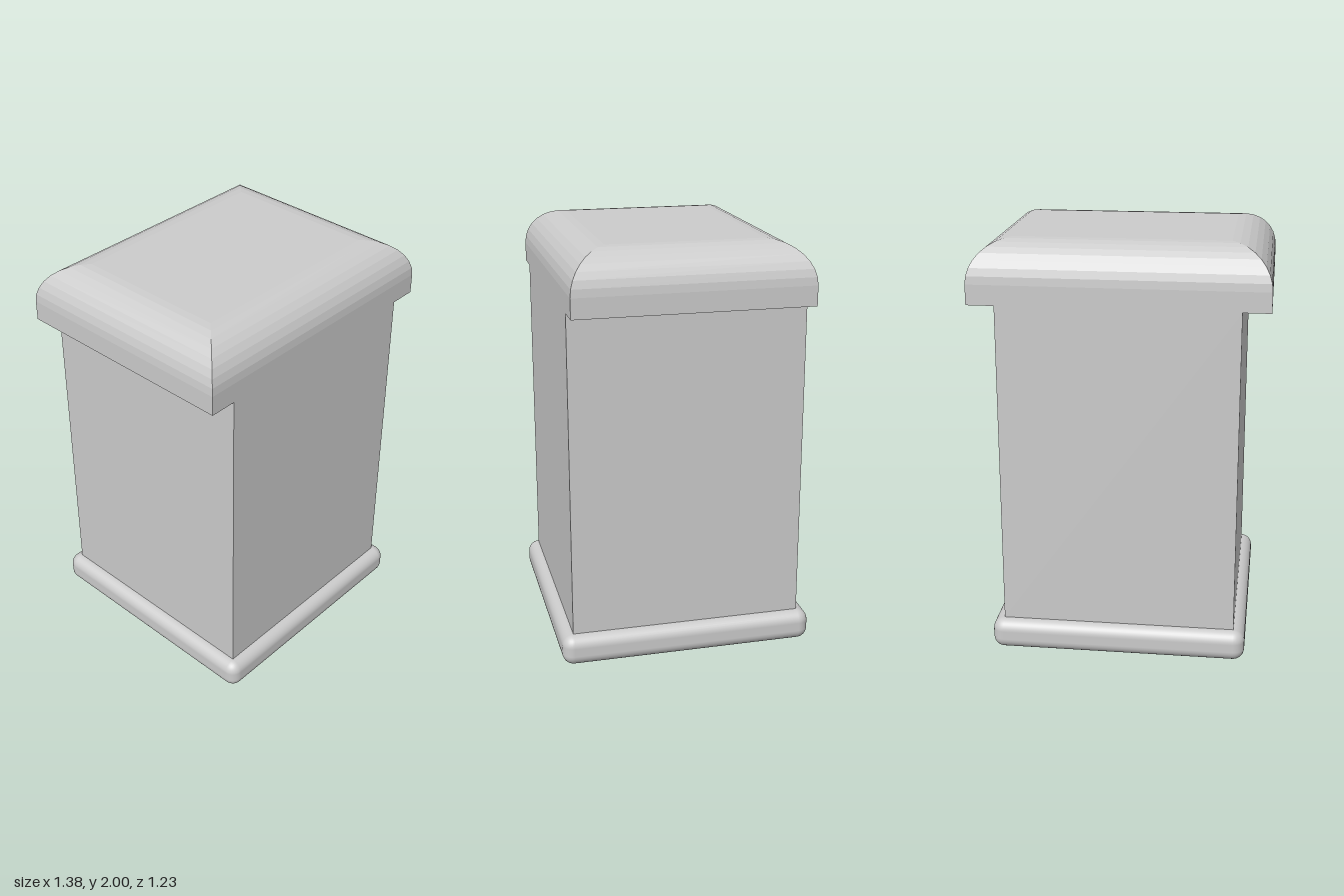
import * as THREE from 'three';
import { RoundedBoxGeometry } from 'three/addons/geometries/RoundedBoxGeometry.js';

const HALF = 0.56;        // half width of the shaft
const BASE_TOP = 0.15;
const CAP_BOTTOM = 1.715;
const CAP_HALF_X = 0.69;
const FILLET = 0.19;
const STEPS = 8;

// Cap: stacked rectangles, inset along a quarter circle, with mitred corners
function capGeometry() {
  const rings = [[0, CAP_BOTTOM]];
  for (let i = 0; i <= STEPS; i++) {
    const a = (i / STEPS) * Math.PI / 2;
    rings.push([FILLET * (1 - Math.cos(a)), 2 - FILLET + FILLET * Math.sin(a)]);
  }
  const corners = rings.map(([inset, y]) =>
    [[1, 1], [1, -1], [-1, -1], [-1, 1]].map(([sx, sz]) =>
      [sx * (CAP_HALF_X - inset), y, sz * (HALF - inset)]));
  const pos = [];
  const quad = (a, b, c, d) => pos.push(...a, ...b, ...c, ...a, ...c, ...d);
  for (let i = 0; i < corners.length - 1; i++) {
    for (let k = 0; k < 4; k++) {
      const n = (k + 1) % 4;
      quad(corners[i][k], corners[i][n], corners[i + 1][n], corners[i + 1][k]);
    }
  }
  quad(...corners[corners.length - 1]);       // flat top
  quad(...[...corners[0]].reverse());         // underside
  const geo = new THREE.BufferGeometry();
  geo.setAttribute('position', new THREE.Float32BufferAttribute(pos, 3));
  geo.computeVertexNormals();
  return geo;
}

export function createModel() {
  const group = new THREE.Group();
  group.name = 'pedestal';
  const grey = new THREE.MeshStandardMaterial({ color: 0xcccccc });
  const add = (name, geo, y = 0) => {
    const mesh = new THREE.Mesh(geo, grey);
    mesh.name = name;
    mesh.position.y = y;
    group.add(mesh);
  };

  // Rounded plinth
  add('base', new RoundedBoxGeometry(1.23, BASE_TOP, 1.23, 4, 0.055), BASE_TOP / 2);

  // Square shaft
  const height = CAP_BOTTOM - BASE_TOP;
  add('shaft', new THREE.BoxGeometry(2 * HALF, height, 2 * HALF), BASE_TOP + height / 2);

  // Overhanging cap, flush with the shaft at front and back
  add('cap', capGeometry());

  return group;
}
